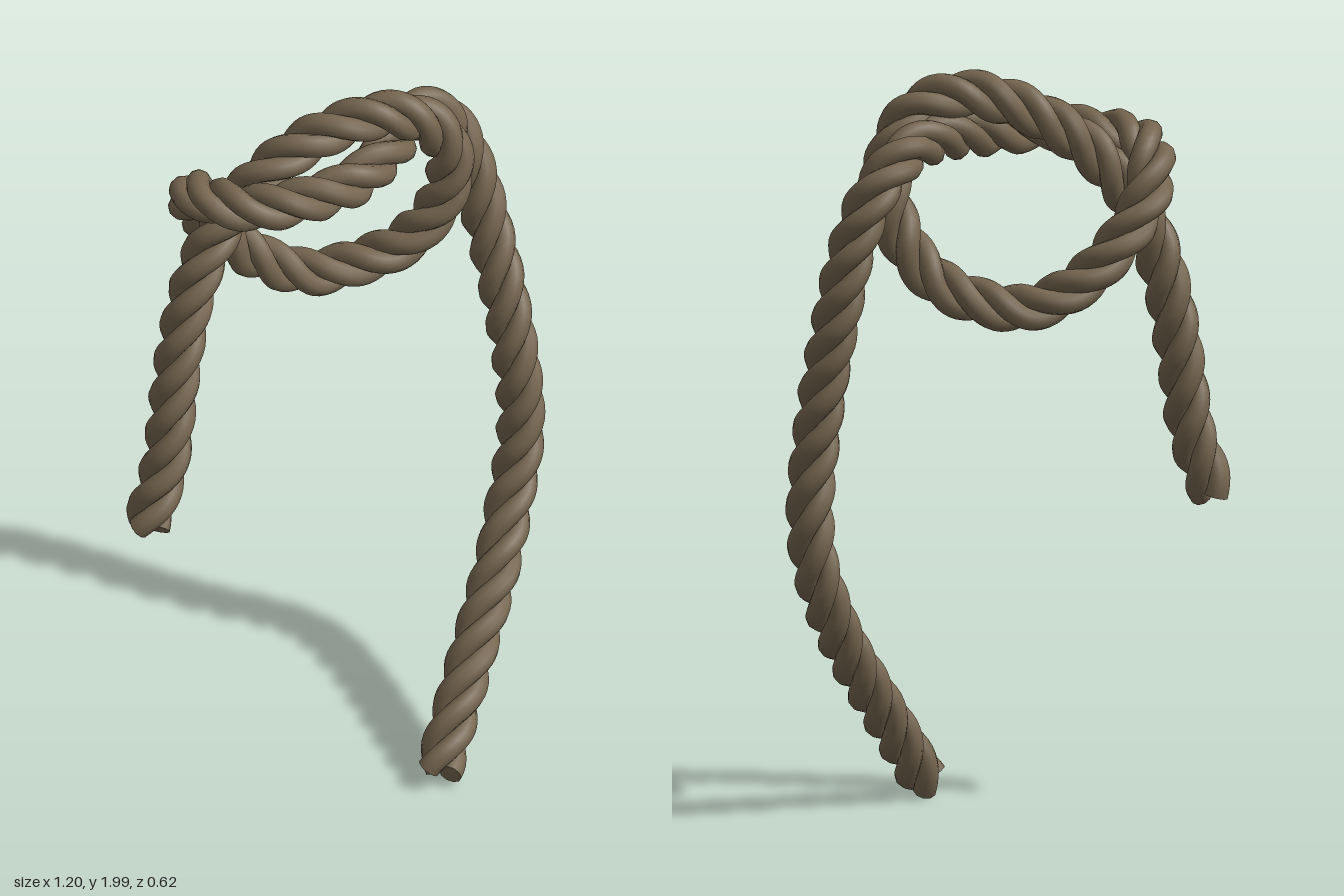
import * as THREE from 'three';

// Centreline of the overhand knot, from the short tail to the long tail
const PATH = [
  [-0.545, 0.835, -0.02], [-0.485, 1.0, -0.04], [-0.45, 1.2, -0.065], [-0.41, 1.4, -0.09],
  [-0.345, 1.59, -0.11], [-0.24, 1.74, -0.12], [-0.11, 1.85, -0.115], [0.01, 1.91, -0.1],
  [0.14, 1.935, -0.08], [0.26, 1.885, -0.07], [0.325, 1.76, -0.075], [0.31, 1.6, -0.1],
  [0.22, 1.46, -0.14], [0.1, 1.4, -0.18], [-0.02, 1.385, -0.205], [-0.15, 1.45, -0.235],
  [-0.255, 1.56, -0.25], [-0.335, 1.68, -0.22], [-0.355, 1.765, -0.15], [-0.335, 1.795, -0.065],
  [-0.26, 1.8, 0.005], [-0.13, 1.81, 0.037], [0.02, 1.81, 0.012], [0.13, 1.82, -0.055],
  [0.23, 1.825, -0.145], [0.31, 1.805, -0.22], [0.39, 1.73, -0.255], [0.45, 1.58, -0.242],
  [0.485, 1.4, -0.21], [0.51, 1.2, -0.155], [0.53, 1.0, -0.12], [0.54, 0.85, -0.115],
  [0.53, 0.73, -0.105], [0.495, 0.61, -0.075], [0.43, 0.47, 0.0], [0.3, 0.255, 0.125],
  [0.165, 0.04, 0.255],
];
const STRANDS = 3;
const STRAND_RADIUS = 0.031;
const LAY_RADIUS = 0.034;
const PITCH = 0.32;
const STEPS = 420;
const SIDES = 10;

// One strand: a helix wound around the centreline
function strandCurve(centre, frames, length, phase) {
  const points = [];
  for (let i = 0; i <= STEPS; i++) {
    const angle = phase + (i / STEPS) * length / PITCH * Math.PI * 2;
    points.push(centre.getPointAt(i / STEPS)
      .addScaledVector(frames.normals[i], Math.cos(angle) * LAY_RADIUS)
      .addScaledVector(frames.binormals[i], Math.sin(angle) * LAY_RADIUS));
  }
  const curve = new THREE.CatmullRomCurve3(points);
  curve.arcLengthDivisions = STEPS * 3;
  return curve;
}

// Flat cut end of a strand, facing along the given direction
function cutEnd(position, direction, material) {
  const cap = new THREE.Mesh(new THREE.CircleGeometry(STRAND_RADIUS, SIDES), material);
  cap.position.copy(position);
  cap.quaternion.setFromUnitVectors(new THREE.Vector3(0, 0, 1), direction);
  cap.name = 'cutEnd';
  return cap;
}

export function createModel() {
  const model = new THREE.Group();
  model.name = 'knottedRope';
  const hemp = new THREE.MeshStandardMaterial({ color: 0x75654f, side: THREE.DoubleSide });
  hemp.name = 'hemp brown';

  const centre = new THREE.CatmullRomCurve3(PATH.map((p) => new THREE.Vector3(...p)));
  centre.arcLengthDivisions = 1200;
  const frames = centre.computeFrenetFrames(STEPS, false);
  const length = centre.getLength();

  // Three twisted strands with their cut ends
  for (let s = 0; s < STRANDS; s++) {
    const curve = strandCurve(centre, frames, length, (s / STRANDS) * Math.PI * 2);
    const strand = new THREE.Group();
    strand.name = `strand${s + 1}`;
    const body = new THREE.Mesh(new THREE.TubeGeometry(curve, STEPS, STRAND_RADIUS, SIDES), hemp);
    body.name = 'strandBody';
    strand.add(
      body,
      cutEnd(curve.getPointAt(0), curve.getTangentAt(0).negate(), hemp),
      cutEnd(curve.getPointAt(1), curve.getTangentAt(1), hemp),
    );
    model.add(strand);
  }

  // Rest the lowest point on the ground and centre the rope
  const box = new THREE.Box3().setFromObject(model, true);
  const middle = box.getCenter(new THREE.Vector3());
  model.children.forEach((c) => c.position.set(-middle.x, -box.min.y, -middle.z));
  return model;
}
